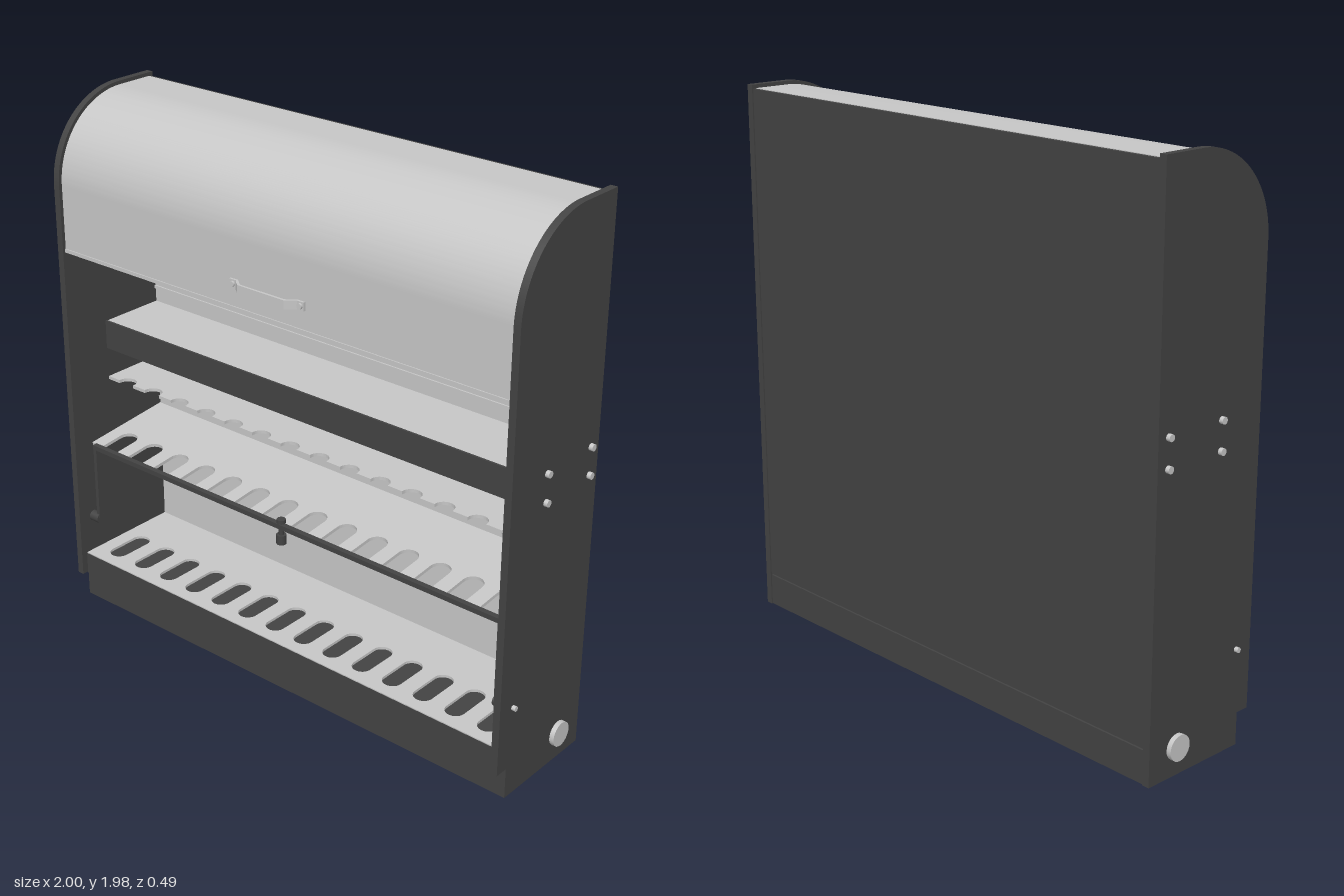
import * as THREE from 'three';
import { toCreasedNormals } from 'three/addons/utils/BufferGeometryUtils.js';

export function createModel() {
  const group = new THREE.Group();
  const mat = (name, color) => Object.assign(new THREE.MeshStandardMaterial({ color }), { name });
  const light = mat('lightGrey', 0xc6c6c6);
  const dark = mat('charcoal', 0x434343);

  const add = (name, geometry, material) => {
    const mesh = new THREE.Mesh(geometry, material);
    mesh.name = name;
    group.add(mesh);
    return mesh;
  };
  // Box given by its limits on each axis
  const box = (name, material, x0, x1, y0, y1, z0, z1) => {
    const g = new THREE.BoxGeometry(x1 - x0, y1 - y0, z1 - z0);
    g.translate((x0 + x1) / 2, (y0 + y1) / 2, (z0 + z1) / 2);
    return add(name, g, material);
  };
  // Profile drawn in (z, y), extruded along x
  const extrudeX = (shape, x0, x1) => {
    const g = new THREE.ExtrudeGeometry(shape, { depth: x1 - x0, bevelEnabled: false, curveSegments: 32 });
    g.rotateY(-Math.PI / 2).translate(x1, 0, 0);
    return toCreasedNormals(g, 0.5);
  };
  // Plan drawn in (x, z), with its top face at y
  const plate = (shape, y, thick) => {
    const g = new THREE.ExtrudeGeometry(shape, { depth: thick, bevelEnabled: false, curveSegments: 10 });
    g.rotateX(Math.PI / 2).translate(0, y, 0);
    return toCreasedNormals(g, 0.5);
  };
  // Round part along x
  const discX = (name, material, r, x0, x1, y, z) => {
    const g = new THREE.CylinderGeometry(r, r, x1 - x0, 24).rotateZ(Math.PI / 2);
    return add(name, g.translate((x0 + x1) / 2, y, z), material);
  };

  const W = 0.957;
  const slots = Array.from({ length: 14 }, (_, i) => (i - 6.5) * 0.133);

  // Side panels with rounded upper front and toe notch
  const side = new THREE.Shape();
  side.moveTo(-0.245, 0);
  side.lineTo(0.175, 0);
  side.lineTo(0.175, 0.115);
  side.lineTo(0.225, 0.115);
  side.lineTo(0.225, 1.67);
  side.absarc(-0.085, 1.67, 0.31, 0, Math.PI / 2, false);
  side.lineTo(-0.245, 1.98);
  for (const s of [-1, 1]) {
    const span = (a, b) => (s > 0 ? [a, b] : [-b, -a]);
    add('sidePanel', extrudeX(side, ...span(W, 0.983)), dark);
    discX('sideCap', light, 0.045, ...span(0.98, 1), 0.1, -0.12);
    for (const z of [0.04, -0.2])
      for (const y of [1.04, 1.14]) discX('shelfScrew', light, 0.012, ...span(0.98, 0.997), y, z);
    discX('pivotScrew', light, 0.009, ...span(0.98, 0.997), 0.345, 0.155);
    // Swinging retainer arm
    discX('pivot', dark, 0.02, ...span(0.915, W), 0.345, 0.155);
    box('retainerArm', dark, ...span(0.914, 0.928), 0.335, 0.655, 0.147, 0.163);
  }

  // Back, split by a fine seam above the plinth
  box('backPanel', dark, -W, W, 0.123, 1.965, -0.24, -0.228);
  box('backPlinth', dark, -W, W, 0, 0.118, -0.24, -0.228);
  box('backLining', light, -W, W, 0.1, 1.967, -0.228, -0.22);
  for (const y of [1.165, 1.25, 1.337])
    box('backRib', light, -W, W, y - 0.006, y + 0.006, -0.222, -0.214);

  // Curved shutter
  const cover = new THREE.Shape();
  cover.moveTo(0.212, 1.425);
  cover.lineTo(0.212, 1.67);
  cover.absarc(-0.085, 1.67, 0.297, 0, Math.PI / 2, false);
  cover.lineTo(-0.228, 1.967);
  cover.lineTo(-0.228, 1.955);
  cover.lineTo(-0.085, 1.955);
  cover.absarc(-0.085, 1.67, 0.285, Math.PI / 2, 0, true);
  cover.lineTo(0.2, 1.425);
  add('shutter', extrudeX(cover, -W, W), light);
  box('shutterEdge', light, -W, W, 1.425, 1.438, 0.198, 0.216);

  // Bent strap handle
  const strap = new THREE.Shape();
  [[-0.16, 0.211], [-0.13, 0.211], [-0.095, 0.238], [0.095, 0.238], [0.13, 0.211], [0.16, 0.211],
    [0.16, 0.22], [0.133, 0.22], [0.1, 0.247], [-0.1, 0.247], [-0.133, 0.22], [-0.16, 0.22]]
    .forEach(([x, z], i) => (i ? strap.lineTo(x, z) : strap.moveTo(x, z)));
  add('handle', plate(strap, 1.535, 0.03), light);
  for (const x of [-0.145, 0.145]) {
    const g = new THREE.CylinderGeometry(0.01, 0.01, 0.01, 16).rotateX(Math.PI / 2);
    add('handleScrew', g.translate(x, 1.52, 0.222), light);
  }

  // Upper shelf
  box('shelfBody', dark, -W, W, 1.0, 1.1, -0.22, 0.04);
  box('shelfTop', light, -W, W, 1.1, 1.107, -0.22, 0.034);
  box('shelfLip', dark, -W, W, 1.0, 1.109, 0.034, 0.042);

  // Notched racks, the notches open to the front
  const rackShape = (front, r, depth) => {
    const s = new THREE.Shape();
    s.moveTo(W, -0.22);
    s.lineTo(-W, -0.22);
    s.lineTo(-W, front);
    for (const x of slots) {
      s.lineTo(x - r, front);
      s.absarc(x, front - depth + r, r, Math.PI, Math.PI * 2, false);
      s.lineTo(x + r, front);
    }
    s.lineTo(W, front);
    return s;
  };
  add('upperRack', plate(rackShape(0.04, 0.036, 0.04), 0.885, 0.012), light);
  const lower = plate(rackShape(0.14, 0.038, 0.13), 0, 0.012);
  lower.rotateX(0.1).translate(0, 0.662, 0);
  add('lowerRack', lower, light);

  // Retainer bar and its knob
  box('retainerBar', dark, -0.928, 0.928, 0.637, 0.655, 0.145, 0.165);
  const knob = (r, h, y) =>
    add('retainerKnob', new THREE.CylinderGeometry(r, r, h, 20).translate(0, y, 0.155), dark);
  knob(0.018, 0.035, 0.597);
  knob(0.009, 0.05, 0.625);
  knob(0.016, 0.014, 0.667);

  // Base with slotted deck over a dark tray
  box('plinth', dark, -W, W, 0, 0.108, -0.228, 0.175);
  box('trayFloor', dark, -W, W, 0.113, 0.15, -0.22, 0.2);
  box('baseFront', dark, -W, W, 0.113, 0.196, 0.19, 0.2);
  box('baseJoint', dark, -W, W, 0.108, 0.113, -0.22, 0.172);
  const deck = new THREE.Shape();
  deck.moveTo(-W, -0.22);
  deck.lineTo(W, -0.22);
  deck.lineTo(W, 0.198);
  deck.lineTo(-W, 0.198);
  for (const x of slots) {
    const h = new THREE.Path();
    h.absarc(x, 0.115, 0.036, 0, Math.PI, false);
    h.absarc(x, 0.005, 0.036, Math.PI, Math.PI * 2, false);
    h.closePath();
    deck.holes.push(h);
  }
  add('slottedDeck', plate(deck, 0.2, 0.01), light);

  return group;
}
